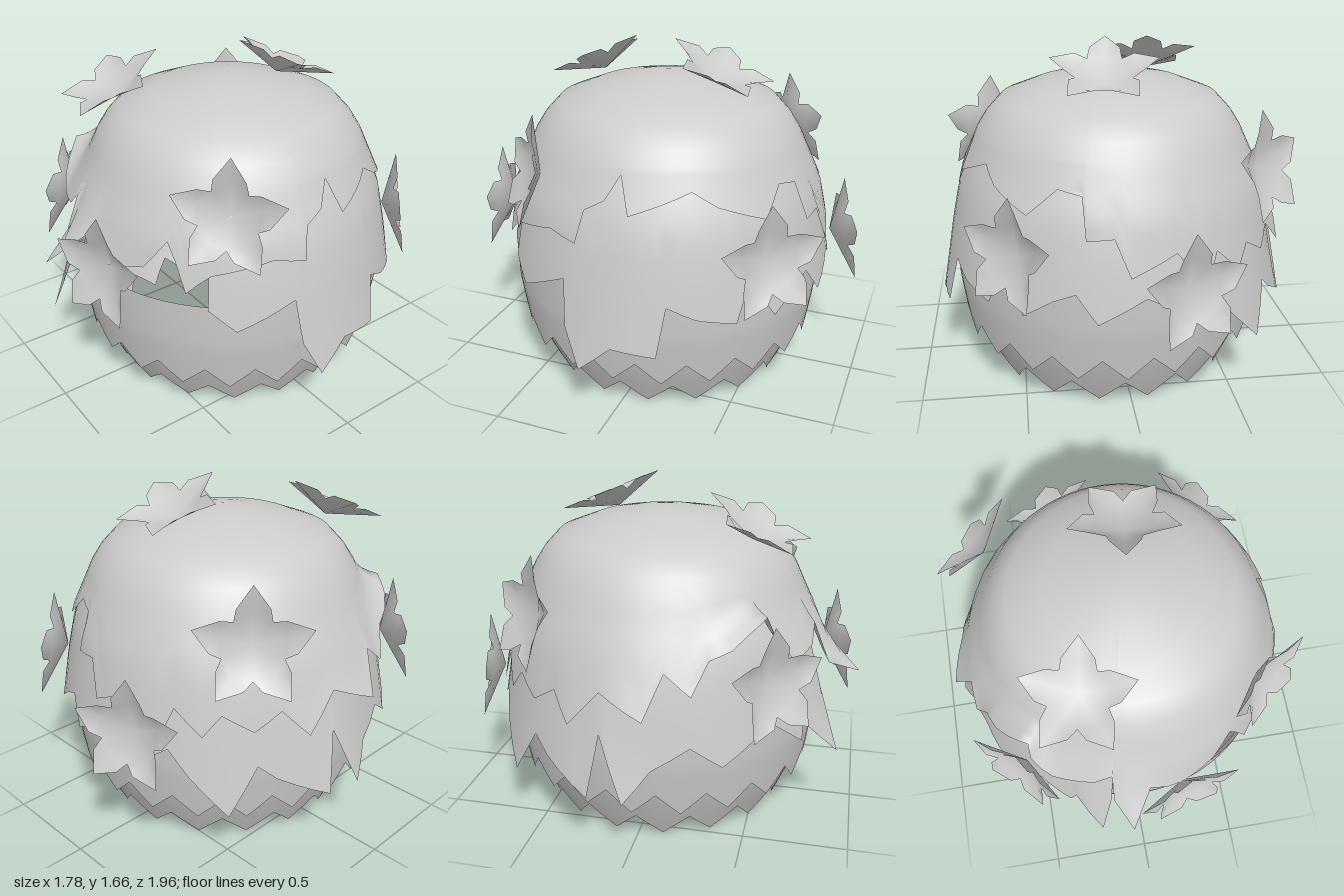
import * as THREE from 'three';
import { mergeVertices } from 'three/addons/utils/BufferGeometryUtils.js';

const material = new THREE.MeshStandardMaterial({ color: 0xcccccc, side: THREE.DoubleSide });
const CX = 0.035; // sideways centre of the shells

// radius at a height, from [y, r] pairs listed downwards
function radiusAt(profile, y) {
  for (let i = 1; i < profile.length; i++) {
    const [y0, r0] = profile[i - 1], [y1, r1] = profile[i];
    if (y >= y1 || i === profile.length - 1) return r0 + (r1 - r0) * (y0 - y) / (y0 - y1);
  }
}

// round layer: level rings at the given heights, then rows down to a
// jagged edge of [degrees, y, flare]
function layer(name, profile, rings, edge, rows, closed) {
  const pts = closed ? [...edge, [edge[0][0] + 360, edge[0][1], edge[0][2]]] : edge;
  const cols = [];
  for (let i = 0; i < pts.length - 1; i++) {
    const a = pts[i], b = pts[i + 1];
    const n = Math.max(1, Math.ceil((b[0] - a[0]) / 6));
    for (let k = 0; k < n; k++) {
      cols.push([0, 1, 2].map((j) => THREE.MathUtils.lerp(a[j] || 0, b[j] || 0, k / n)));
    }
  }
  cols.push(pts[pts.length - 1]);

  const pos = [], index = [], w = rings.length + rows;
  const last = rings[rings.length - 1];
  cols.forEach(([deg, yEnd, flare = 0], c) => {
    const a = THREE.MathUtils.degToRad(deg);
    for (let i = 0; i < w; i++) {
      const t = Math.max(0, (i - rings.length + 1) / rows);
      const y = i < rings.length ? rings[i] : last + (yEnd - last) * t;
      const r = radiusAt(profile, y) + flare * t ** 3;
      pos.push(CX + r * Math.sin(a), y, r * Math.cos(a));
      if (c > 0 && i > 0) {
        const q = c * w + i, p = q - w;
        index.push(p - 1, p, q, p - 1, q, q - 1);
      }
    }
  });
  let geo = new THREE.BufferGeometry();
  geo.setAttribute('position', new THREE.Float32BufferAttribute(pos, 3));
  geo.setIndex(index);
  geo = mergeVertices(geo, 1e-4);
  geo.computeVertexNormals();
  const mesh = new THREE.Mesh(geo, material);
  mesh.name = name;
  return mesh;
}

// regular zigzag hem
function zigzag(count, offset, low, high) {
  const step = 360 / count, out = [];
  for (let i = 0; i < count; i++) {
    out.push([offset + i * step, low], [offset + (i + 0.5) * step, high]);
  }
  return out;
}

// five creased, pointed petals around a sunken centre, facing +z
function flowerGeometry() {
  const pos = [];
  const at = (r, deg, z) => {
    const a = THREE.MathUtils.degToRad(deg);
    return [r * Math.sin(a), r * Math.cos(a), z];
  };
  for (let i = 0; i < 5; i++) {
    const d = i * 72, centre = [0, 0, -0.065];
    const rim = [at(0.14, d - 36, 0), at(0.185, d - 23, 0.025), at(0.27, d, 0.025),
      at(0.185, d + 23, 0.025), at(0.14, d + 36, 0)];
    const fold = at(0.15, d, -0.015);
    pos.push(...centre, ...fold, ...rim[0], ...centre, ...rim[4], ...fold);
    for (let k = 0; k < 4; k++) pos.push(...fold, ...rim[k + 1], ...rim[k]);
  }
  let geo = new THREE.BufferGeometry();
  geo.setAttribute('position', new THREE.Float32BufferAttribute(pos, 3));
  geo = mergeVertices(geo);
  geo.computeVertexNormals();
  return geo;
}

export function createModel() {
  const model = new THREE.Group();
  model.name = 'flowerHood';

  // lower shells with zigzag hems, open at the bottom
  const innerProfile = [[0.6, 0.765], [0.5, 0.76], [0.3, 0.72], [0.14, 0.655], [0.02, 0.6]];
  const outerProfile = [[0.7, 0.785], [0.5, 0.78], [0.32, 0.755], [0.2, 0.735]];
  model.add(layer('innerHem', innerProfile, [0.6, 0.5], zigzag(16, 11.25, 0.02, 0.14), 5, true));
  model.add(layer('outerHem', outerProfile, [0.7, 0.5], zigzag(20, 0, 0.21, 0.32), 3, true));

  // middle layer, left open at the front and reaching up under the cap
  const midProfile = [[1.44, 0.37], [1.375, 0.525], [1.29, 0.595], [1.2, 0.655], [1, 0.75],
    [0.8, 0.795], [0.6, 0.83], [0.3, 0.885]];
  const midEdge = [
    [47, 0.7], [56, 0.6], [75, 0.72], [77, 0.5], [83, 0.32], [93, 0.45], [107, 0.43], [110, 0.66],
    [119, 0.6], [132, 0.56], [136, 0.7], [141, 0.66], [146, 0.55], [156, 0.64], [163, 0.68],
    [170, 0.55], [185, 0.66], [200, 0.55], [208, 0.62], [215, 0.5], [227, 0.32], [236, 0.55],
    [242, 0.48], [259, 0.35, 0.02], [262, 0.65, 0.02], [270, 0.35, 0.03], [278, 0.5], [290, 0.6],
    [300, 0.5], [318, 0.65], [332, 0.5], [334, 0.58], [344.5, 0.39, 0.08], [347, 0.7, 0.02],
  ];
  model.add(layer('middleLayer', midProfile, [1.44, 1.375, 1.29, 1.2], midEdge, 7, false));

  // domed cap with ragged fringe
  const capProfile = [[1.525, 0], [1.495, 0.18], [1.455, 0.37], [1.39, 0.535], [1.31, 0.61],
    [1.24, 0.655], [1, 0.765], [0.8, 0.81], [0.6, 0.85]];
  const capRings = [1.525, 1.495, 1.455, 1.39, 1.31, 1.24];
  const capEdge = [
    [-57, 1.04, 0.07], [-51, 1.1, 0.09], [-43, 1.15, 0.09], [-41, 1.05, 0.08], [-33, 0.92, 0.05],
    [-19, 0.94, 0.03], [-13, 1.02, 0.03],
    [-12, 0.82, 0.06], [-6, 0.76, 0.18], [0, 0.9, 0.04], [6, 0.84, 0.03], [12, 0.82, 0.02],
    [25, 0.86], [33, 1], [36, 0.92], [40, 0.78], [44, 0.83], [48, 0.87], [68, 0.93], [79, 0.9],
    [81, 1.05], [88, 1.1], [93, 1.21], [97, 1.05], [119, 1.15], [128, 1.08], [145, 1],
    [155, 1.12], [164, 1.1], [166, 0.92], [175, 0.93], [180, 0.76], [195, 0.85], [205, 0.66],
    [210, 0.82], [219, 0.7], [225, 0.8], [235, 0.72], [244, 0.8], [252, 0.68, 0.03],
    [262, 0.85, 0.03], [276, 0.76, 0.08], [282, 0.95, 0.03], [290, 0.85, 0.04], [296, 1, 0.04],
  ];
  model.add(layer('cap', capProfile, capRings, capEdge, 6, true));

  // flowers: position, facing direction
  const geo = flowerGeometry();
  const flowers = [
    [[0.22, 0.81, 0.86], [0.25, 0.1, 0.95]],
    [[-0.58, 0.86, 0.63], [-0.69, 0.15, 0.73]],
    [[0.65, 1.14, 0.46], [0.64, 0.25, 0.77]],
    [[0.56, 0.83, -0.68], [0.7, 0.15, -0.7]],
    [[-0.24, 0.7, -0.86], [-0.36, 0.12, -0.93]],
    [[-0.64, 1.13, -0.49], [-0.7, 0.25, -0.7]],
    [[-0.24, 1.49, 0.49], [-0.08, 0.9, 0.42]],
    [[0.09, 1.55, -0.28], [0.05, 0.9, -0.38]],
  ];
  for (const [p, n] of flowers) {
    const flower = new THREE.Mesh(geo, material);
    flower.name = 'flower';
    flower.position.set(...p);
    flower.lookAt(p[0] + n[0], p[1] + n[1], p[2] + n[2]);
    model.add(flower);
  }
  return model;
}
